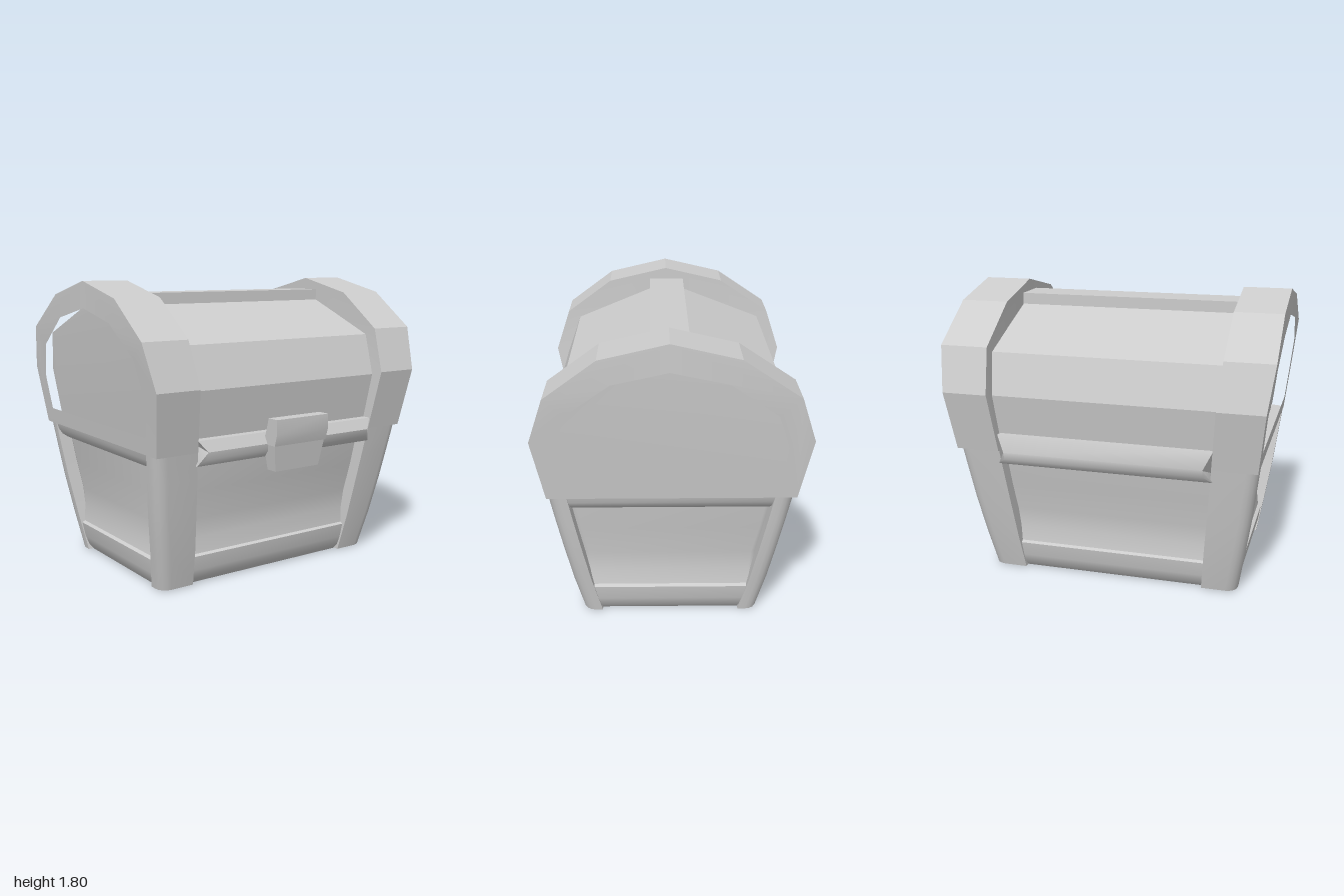
import * as THREE from 'three';
import { toCreasedNormals } from 'three/addons/utils/BufferGeometryUtils.js';

const ZC = -0.02; // depth centre of the chest body
const lerp = THREE.MathUtils.lerp;

// Piecewise linear lookup in ascending [y, value] pairs
function ramp(table, y) {
  if (y <= table[0][0]) return table[0][1];
  for (let i = 1; i < table.length; i++) {
    const [y0, v0] = table[i - 1], [y1, v1] = table[i];
    if (y <= y1) return lerp(v0, v1, (y - y0) / (y1 - y0));
  }
  return table[table.length - 1][1];
}
const outerX = y => ramp([[0.02, 0.8], [0.25, 0.84], [0.5, 0.88], [0.86, 0.925], [1.23, 0.965], [1.5, 1]], y);
const innerX = y => ramp([[0.02, 0.58], [0.86, 0.655], [1.46, 0.705]], y);
const halfZ = y => ramp([[0.02, 0.535], [0.25, 0.595], [0.5, 0.645], [0.86, 0.715]], y);

// Extrude a [z, y] profile along x; xAt(t, y, z) gives x for t = 0..1
function sweepX(profile, xAt, hole, crease = 0.35) {
  const path = pts => pts.map(([z, y]) => new THREE.Vector2(-z, y));
  const shape = new THREE.Shape(path(profile));
  if (hole) shape.holes.push(new THREE.Path(path(hole)));
  const geo = new THREE.ExtrudeGeometry(shape, { depth: 1, bevelEnabled: false });
  const p = geo.attributes.position;
  for (let i = 0; i < p.count; i++) {
    const z = -p.getX(i), y = p.getY(i), t = p.getZ(i);
    p.setXYZ(i, xAt(t, y, z), y, z);
  }
  return toCreasedNormals(geo, crease);
}

// Join rings of points, listed bottom to top, and cap both ends
function loft(rings, flip, crease = 0.6) {
  const n = rings[0].length, pos = rings.flat(2), idx = [];
  const tri = (a, b, c) => flip ? idx.push(a, c, b) : idx.push(a, b, c);
  for (let r = 0; r < rings.length - 1; r++) {
    for (let i = 0; i < n; i++) {
      const a = r * n + i, b = r * n + (i + 1) % n;
      tri(a, a + n, b);
      tri(b, a + n, b + n);
    }
  }
  const top = (rings.length - 1) * n;
  for (let i = 1; i < n - 1; i++) {
    tri(0, i, i + 1);
    tri(top, top + i + 1, top + i);
  }
  const geo = new THREE.BufferGeometry();
  geo.setAttribute('position', new THREE.Float32BufferAttribute(pos, 3));
  geo.setIndex(idx);
  return toCreasedNormals(geo, crease);
}

// Rectangle ring with rounded corners, running from +x towards +z
function roundedRing(y, hx, hz, r) {
  const pts = [], corners = [[1, 1], [-1, 1], [-1, -1], [1, -1]];
  corners.forEach(([sx, sz], q) => {
    for (let k = 0; k <= 3; k++) {
      const a = (q + k / 3) * Math.PI / 2;
      pts.push([sx * (hx - r) + r * Math.cos(a), y, ZC + sz * (hz - r) + r * Math.sin(a)]);
    }
  });
  return pts;
}

// Corner post ring with only its outside corner rounded
function postRing(y, sx, sz) {
  const xi = innerX(y), xo = outerX(y), zo = halfZ(y), zi = zo - 0.115, r = 0.07;
  const pts = [[xi, zi], [xo, zi]];
  for (let k = 0; k <= 4; k++) {
    const a = k * Math.PI / 8;
    pts.push([xo - r + r * Math.cos(a), zo - r + r * Math.sin(a)]);
  }
  pts.push([xi, zo]);
  return pts.map(([x, z]) => [sx * x, y, ZC + sz * z]);
}

export function createModel() {
  const chest = new THREE.Group();
  chest.name = 'chest';
  const grey = new THREE.MeshStandardMaterial({ color: 0xcccccc });
  grey.name = 'grey';
  const add = (name, geo) => {
    const mesh = new THREE.Mesh(geo, grey);
    mesh.name = name;
    chest.add(mesh);
  };

  // Tub: rounded bottom rail, then recessed walls that flare at the foot
  const levels = [
    [0.005, 0.76, 0.49], [0.04, 0.79, 0.525], [0.1, 0.81, 0.545], [0.19, 0.822, 0.56],
    [0.2, 0.8, 0.54], [0.3, 0.785, 0.53], [0.42, 0.79, 0.54], [0.6, 0.815, 0.58], [0.9, 0.85, 0.63],
  ];
  add('tub', loft(levels.map(([y, hx, hz]) => roundedRing(y, hx, hz, 0.05))));

  // Four corner posts
  for (const sx of [1, -1]) {
    for (const sz of [1, -1]) {
      const rings = [0.01, 0.25, 0.5, 0.7, 0.87].map(y => postRing(y, sx, sz));
      add('cornerPost', loft(rings, sx * sz < 0));
    }
  }

  // Side rails below the lid ends, rounded under
  const railLevels = [[0.76, 0.8], [0.765, 0.855], [0.79, 0.89], [0.825, 0.912], [0.87, 0.924]];
  for (const sx of [1, -1]) {
    const rings = railLevels.map(([y, x]) =>
      [[0.7, -0.6], [x, -0.6], [x, 0.6], [0.7, 0.6]].map(([px, pz]) => [sx * px, y, ZC + pz]));
    add('sideRail', loft(rings, sx < 0));
  }

  // Lid bands: faceted arches with an open D-shaped hole
  const arch = [
    [0.695, 0.86], [0.77, 1.23], [0.68, 1.5], [0.38, 1.72], [-0.01, 1.81],
    [-0.4, 1.72], [-0.73, 1.5], [-0.82, 1.23], [-0.745, 0.86],
  ];
  const opening = [
    [0.6, 0.96], [0.64, 1.17], [0.56, 1.4], [0.31, 1.58], [-0.01, 1.65],
    [-0.34, 1.58], [-0.61, 1.39], [-0.685, 1.17], [-0.645, 0.96],
  ];
  add('leftBand', sweepX(arch, (t, y) => lerp(innerX(y), outerX(y), t), opening, 0.2));
  add('rightBand', sweepX(arch, (t, y) => -lerp(outerX(y), innerX(y), t), opening, 0.2));

  // Lid with a raised ridge strip; its ends close the band openings
  const lid = [
    [0.64, 0.9], [0.69, 1.21], [0.6, 1.46], [0.1, 1.665], [0.1, 1.735],
    [-0.13, 1.735], [-0.13, 1.665], [-0.66, 1.46], [-0.74, 1.21], [-0.69, 0.9],
  ];
  add('lid', sweepX(lid, (t, y) => (2 * t - 1) * (outerX(y) - 0.08), null, 0.2));

  // Front and back rims under the lid
  const rim = [[0.5, 0.93], [0.7, 0.93], [0.735, 0.865], [0.725, 0.82], [0.69, 0.78], [0.63, 0.765], [0.5, 0.765]];
  const backRim = rim.map(([z, y]) => [2 * ZC - z, y > 0.9 ? 0.965 : y]);
  const rimX = (t, y, z) => (2 * t - 1) * (Math.abs(z - ZC) > 0.73 ? 0.61 : 0.66);
  add('frontRim', sweepX(rim, rimX, null, 0.7));
  add('backRim', sweepX(backRim, rimX, null, 0.7));

  // Lock: wide hasp over a tapering plate
  const hasp = [[0.745, 1.02], [0.825, 1.02], [0.825, 0.93], [0.805, 0.86], [0.69, 0.86], [0.72, 0.93]];
  const plate = [[0.69, 0.87], [0.8, 0.87], [0.775, 0.7], [0.7, 0.7]];
  add('lockHasp', sweepX(hasp, t => (2 * t - 1) * 0.195));
  add('lockPlate', sweepX(plate, (t, y) => (2 * t - 1) * ramp([[0.7, 0.165], [0.87, 0.19]], y)));

  return chest;
}
